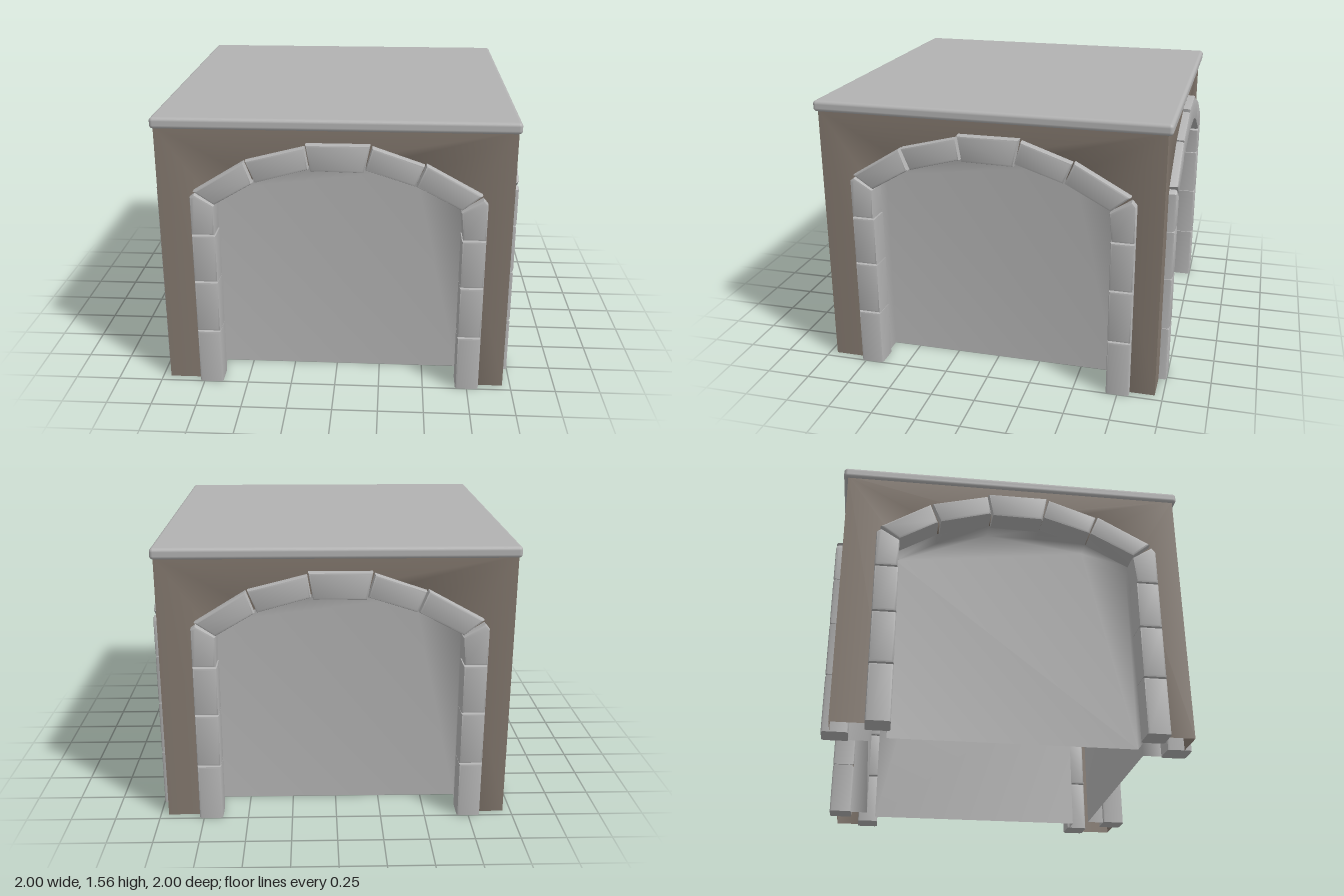
import * as THREE from 'three';
import { toCreasedNormals } from 'three/addons/utils/BufferGeometryUtils.js';
import { RoundedBoxGeometry } from 'three/addons/geometries/RoundedBoxGeometry.js';

// Outline of the arched opening, from the left foot over the top to the right foot
const OPENING = [[-0.66, 0], [-0.66, 1.09], [-0.43, 1.225], [-0.13, 1.305],
  [0.165, 1.305], [0.435, 1.225], [0.7, 1.09], [0.7, 0]];
const WALL_Z = 0.955, REVEAL_Z = 0.86, PANEL_Z = 0.755;

// Slightly irregular voussoirs and shoulder stones, as corner lists
const ARCH_STONES = [
  [[-0.775, 0.91], [-0.65, 0.91], [-0.645, 1.08], [-0.75, 1.145], [-0.775, 1.125]],
  [[-0.755, 1.16], [-0.645, 1.085], [-0.435, 1.21], [-0.48, 1.33]],
  [[-0.47, 1.335], [-0.42, 1.215], [-0.135, 1.295], [-0.155, 1.415]],
  [[-0.15, 1.43], [-0.125, 1.285], [0.16, 1.28], [0.19, 1.43]],
  [[0.2, 1.42], [0.165, 1.295], [0.43, 1.21], [0.475, 1.325]],
  [[0.485, 1.33], [0.435, 1.21], [0.68, 1.08], [0.785, 1.165]],
  [[0.815, 0.91], [0.69, 0.91], [0.675, 1.07], [0.79, 1.145], [0.815, 1.115]],
];
const JAMB_LEVELS = [[-0.03, 0.322], [0.325, 0.627], [0.63, 0.907]];

// Flat face joined smoothly to a reveal that runs along the opening
function sheet(contour, faceZ, faceStart, frontZ, backZ) {
  const n = OPENING.length, pos = [], index = [];
  for (const z of [frontZ, backZ]) for (const [x, y] of OPENING) pos.push(x, y, z);
  for (let i = 0; i < n - 1; i++) {
    index.push(i, i + n, i + 1, i + 1, i + n, i + n + 1);
  }
  // contour entries are either indices into the opening or extra points
  const ids = contour.map((c) => {
    if (!Array.isArray(c)) return c + faceStart;
    pos.push(c[0], c[1], faceZ);
    return pos.length / 3 - 1;
  });
  const pts = ids.map((i) => new THREE.Vector2(pos[i * 3], pos[i * 3 + 1]));
  for (const t of THREE.ShapeUtils.triangulateShape(pts, [])) index.push(...t.map((k) => ids[k]));
  const geo = new THREE.BufferGeometry();
  geo.setAttribute('position', new THREE.Float32BufferAttribute(pos, 3));
  geo.setIndex(index);
  geo.computeVertexNormals();
  return geo;
}

// Bevelled block cut from a front outline, kept above the ground
function stoneGeometry(points) {
  const bevel = 0.014, depth = 0.14;
  let p = points.map(([x, y]) => new THREE.Vector2(x, y));
  if (THREE.ShapeUtils.isClockWise(p)) p = p.reverse();
  const geo = new THREE.ExtrudeGeometry(new THREE.Shape(p), {
    depth: depth - 2 * bevel, bevelEnabled: true, bevelThickness: bevel,
    bevelSize: bevel, bevelOffset: -bevel, bevelSegments: 2,
  });
  geo.translate(0, 0, 1 - depth + bevel);
  const a = geo.attributes.position;
  for (let i = 0; i < a.count; i++) a.setY(i, Math.max(0, a.getY(i)));
  return toCreasedNormals(geo, 0.7);
}

export function createModel() {
  const stone = new THREE.MeshStandardMaterial({ color: 0xb2b2b2, side: THREE.DoubleSide });
  stone.name = 'grey stone';
  const plaster = new THREE.MeshStandardMaterial({ color: 0x83786e, side: THREE.DoubleSide });
  plaster.name = 'brown wall';

  const last = OPENING.length - 1;
  const openingIds = OPENING.map((_, i) => i);
  const wallGeo = sheet(
    [[-WALL_Z, 1.51], [-WALL_Z, 0], ...openingIds, [WALL_Z, 0], [WALL_Z, 1.51]],
    WALL_Z, 0, WALL_Z, REVEAL_Z);
  const panelGeo = sheet(openingIds.map((i) => last - i),
    PANEL_Z, OPENING.length, REVEAL_Z, PANEL_Z);

  const outlines = [...ARCH_STONES];
  for (const [x0, x1] of [[-0.775, -0.643], [0.685, 0.815]]) {
    for (const [y0, y1] of JAMB_LEVELS) outlines.push([[x0, y0], [x1, y0], [x1, y1], [x0, y1]]);
  }
  const stoneGeos = outlines.map(stoneGeometry);

  const model = new THREE.Group();
  model.name = 'archedBlock';
  const add = (parent, name, geo, mat) => {
    const mesh = new THREE.Mesh(geo, mat);
    mesh.name = name;
    parent.add(mesh);
    return mesh;
  };

  // Four equal sides
  ['front', 'left', 'back', 'right'].forEach((label, k) => {
    const side = new THREE.Group();
    side.name = label + 'Side';
    add(side, 'wall', wallGeo, plaster);
    add(side, 'recessedPanel', panelGeo, stone);
    stoneGeos.forEach((g, i) => add(side, i < ARCH_STONES.length ? 'archStone' : 'jambStone', g, stone));
    side.rotation.y = k * Math.PI / 2;
    model.add(side);
  });

  // Roof slab with softened edges
  add(model, 'roofSlab', new RoundedBoxGeometry(1.94, 0.062, 1.96, 3, 0.02), stone)
    .position.set(0, 1.529, 0);
  return model;
}
